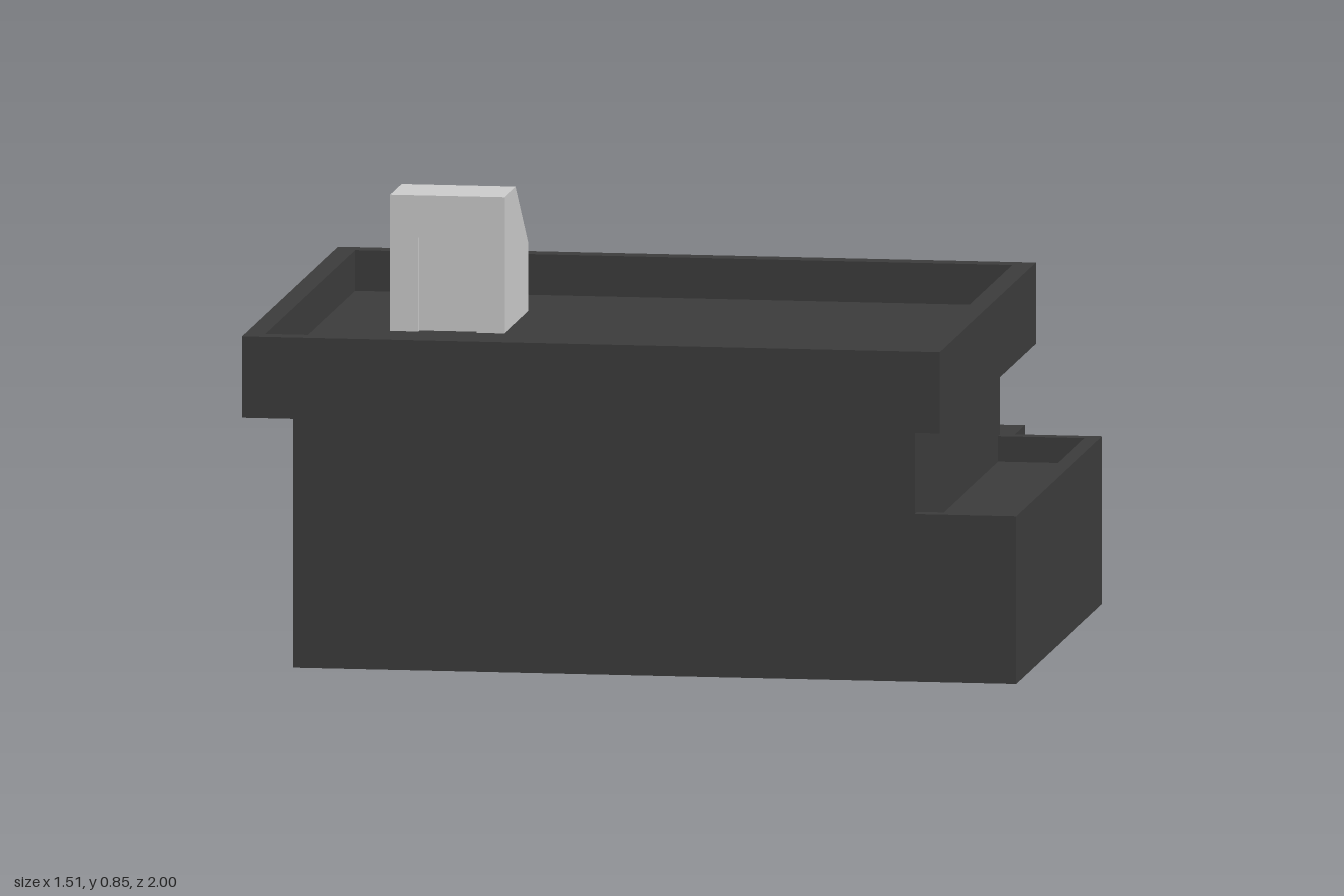
import * as THREE from 'three';

const mat = (color, side = THREE.FrontSide) => new THREE.MeshStandardMaterial({ color, side, flatShading: true });
const dark = mat(0x3c3c3c), grey = mat(0xcccccc), doorGrey = mat(0x707070);
const green = mat(0x548b5e), darkGreen = mat(0x2f5238);
const steel = mat(0x4c4c4c), pane = mat(0x7c7c7c);

function add(parent, name, geometry, material) {
  const mesh = new THREE.Mesh(geometry, material);
  mesh.name = name;
  parent.add(mesh);
  return mesh;
}

// Box given by its limits on each axis
function block(parent, name, [x0, x1], [y0, y1], [z0, z1], material) {
  const g = new THREE.BoxGeometry(x1 - x0, y1 - y0, z1 - z0);
  g.translate((x0 + x1) / 2, (y0 + y1) / 2, (z0 + z1) / 2);
  return add(parent, name, g, material);
}

const outline = (pts) => pts.map(([x, y]) => new THREE.Vector2(x, y));
const rect = (x0, x1, y0, y1) => outline([[x0, y0], [x1, y0], [x1, y1], [x0, y1]]);

function prism(points, depth, hole) {
  const shape = new THREE.Shape(points);
  if (hole) shape.holes.push(new THREE.Path(hole));
  return new THREE.ExtrudeGeometry(shape, { depth, bevelEnabled: false });
}

// Profile of [z, y] points drawn out along x from x0 to x1
function prismX(points, x0, x1, hole) {
  const flip = (list) => list.map((p) => new THREE.Vector2(-p.x, p.y));
  return prism(flip(points), x1 - x0, hole && flip(hole)).rotateY(Math.PI / 2).translate(x0, 0, 0);
}

// Flat roof with a raised rim
function parapetBlock(parent, name, [x0, x1], [y0, y1], [z0, z1], rim, drop) {
  block(parent, name, [x0, x1], [y0, y1 - drop], [z0, z1], dark);
  const ring = prism(rect(x0, x1, -z1, -z0), drop, rect(x0 + rim, x1 - rim, -z1 + rim, -z0 - rim));
  add(parent, name + 'Parapet', ring.rotateX(-Math.PI / 2).translate(0, y1 - drop, 0), dark);
}

// Wall outline with a doorway cut up from its lower edge
const doorway = (a, b, y0, y1, d0, d1, dTop) =>
  outline([[a, y0], [d0, y0], [d0, dTop], [d1, dTop], [d1, y0], [b, y0], [b, y1], [a, y1]]);

// Hatch with a two-pane window box, hinged at one side (hinge = -1 or 1)
function hatch(parent, hinge, angle) {
  const g = new THREE.Group();
  g.name = 'hatch';
  g.position.set(0.27, 0.11, hinge * 0.085);
  g.rotation.y = angle;
  const c = -hinge * 0.085;
  block(g, 'hatchPlate', [0, 0.01], [-0.085, 0.085], [c - 0.085, c + 0.085], steel);
  const frame = prismX(rect(c - 0.062, c + 0.062, -0.045, 0.045), 0.01, 0.03);
  add(g, 'hatchBox', frame, steel);
  for (const s of [-1, 1]) {
    block(g, 'hatchPane', [0.028, 0.032], [-0.036, 0.036], [c + s * 0.029 - 0.025, c + s * 0.029 + 0.025], pane);
  }
  parent.add(g);
}

// Ribbed container, open at both ends with a recessed bulkhead and a hatch
function container(parent, x, z, turn, hinge, angle) {
  const g = new THREE.Group();
  g.name = 'container';
  g.position.set(x, 0.008, z);
  g.rotation.y = turn;
  const L = 0.285, W = 0.1, H = 0.217;
  add(g, 'containerShell', prismX(rect(-W, W, 0, H), -L, L, rect(-W + 0.012, W - 0.012, 0.012, H - 0.012)), green);
  for (const rx of [-0.2, -0.1, 0.1, 0.2, -0.279, 0.279, 0]) {
    const hole = rect(-W + 0.004, W - 0.004, 0.004, H - 0.004);
    add(g, 'containerRib', prismX(rect(-W - 0.003, W + 0.003, -0.003, H + 0.003), rx - 0.003, rx + 0.003, hole), darkGreen);
  }
  for (const s of [-1, 1]) {
    const end = new THREE.Group();
    end.name = 'containerEnd';
    if (s < 0) end.rotation.y = Math.PI;
    add(end, 'bulkhead', prismX(rect(-0.09, 0.09, 0.01, H - 0.01), 0.25, 0.262, rect(-0.07, 0.07, 0.03, 0.19)), dark);
    if (s > 0) hatch(end, hinge, angle);
    else hatch(end, 1, 0);
    g.add(end);
  }
  parent.add(g);
}

export function createModel() {
  const model = new THREE.Group();
  model.name = 'building';

  // Main hall, overhanging roof and lower side wing
  block(model, 'mainHall', [-0.67, 0.555], [0, 0.5], [-0.15, 0.93], dark);
  parapetBlock(model, 'roof', [-0.76, 0.615], [0.5, 0.66], [-0.215, 1], 0.04, 0.08);
  parapetBlock(model, 'sideWing', [0.525, 0.755], [0, 0.33], [-0.155, 0.93], 0.03, 0.05);

  // Stair house on the roof, sloping to the back, with a recessed door
  const stair = outline([[0.04, 0.57], [0.33, 0.57], [0.33, 0.848], [0.2, 0.848], [0.04, 0.715]]);
  add(model, 'stairHouse', prismX(stair, -0.57, -0.345), grey);
  add(model, 'stairHouseDoorway',
    prism(doorway(-0.57, -0.345, 0.57, 0.848, -0.515, -0.4, 0.765), 0.015).translate(0, 0, 0.33), grey);

  // Rear entrance block with a recessed door
  block(model, 'rearBlock', [0.29, 0.52], [0, 0.3], [-0.48, -0.14], dark);
  add(model, 'rearDoorway', prismX(doorway(-0.48, -0.14, 0, 0.3, -0.43, -0.2, 0.21), 0.52, 0.552), dark);
  block(model, 'rearDoor', [0.515, 0.524], [0, 0.21], [-0.43, -0.2], doorGrey);

  // Sloped hood beside the rear block
  const hood = outline([[0.135, 0], [0.29, 0], [0.29, 0.24], [0.26, 0.24], [0.135, 0.09]]);
  add(model, 'slopedHood', prism(hood, 0.24).translate(0, 0, -0.445), grey);

  // Two containers behind the building
  container(model, 0.103, -0.89, -0.02, -1, 0.45);
  container(model, 0.1, -0.585, 0.175, 1, -0.3);

  return model;
}
